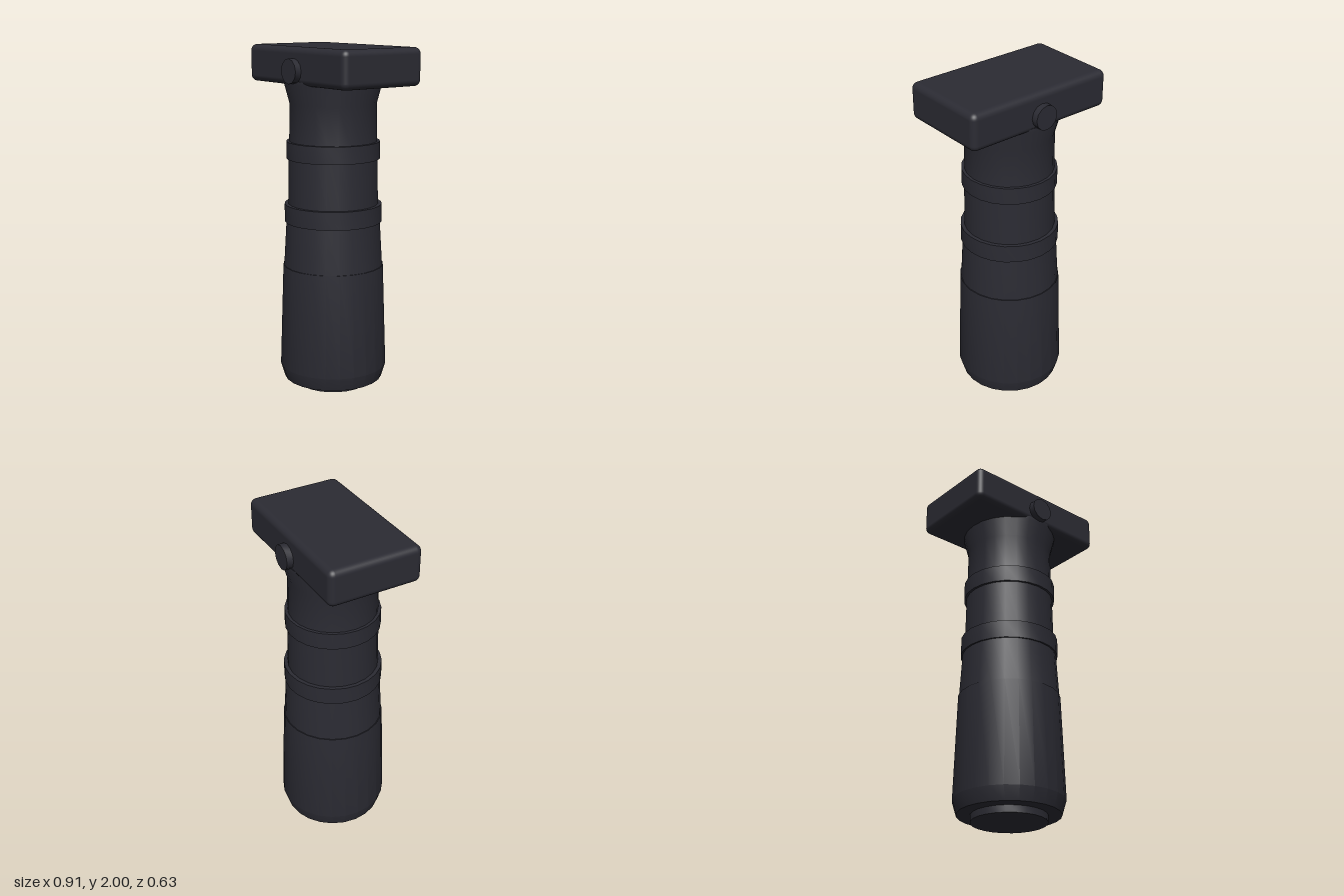
import * as THREE from 'three';
import { toCreasedNormals } from 'three/addons/utils/BufferGeometryUtils.js';
import { RoundedBoxGeometry } from 'three/addons/geometries/RoundedBoxGeometry.js';

const SIDES = 24;

export function createModel() {
  const model = new THREE.Group();
  model.name = 'verticalGrip';
  const polymer = new THREE.MeshStandardMaterial({ color: 0x2b2b33 });
  polymer.name = 'darkPolymer';

  const add = (name, geometry, y = 0, z = 0) => {
    const mesh = new THREE.Mesh(geometry, polymer);
    mesh.name = name;
    mesh.position.set(0, y, z);
    model.add(mesh);
    return mesh;
  };

  // Turned part from [radius, height] pairs, bottom to top
  const turned = (name, profile) => {
    const points = profile.map(([r, y]) => new THREE.Vector2(r, y));
    add(name, toCreasedNormals(new THREE.LatheGeometry(points, SIDES), 0.4));
  };

  // Base plug under the handle
  turned('basePlug', [[0, 0], [0.215, 0], [0.215, 0.05], [0, 0.05]]);

  // Handle: chamfered foot and swelling lower body with a small lip
  turned('lowerHandle', [
    [0, 0.04], [0.292, 0.04], [0.316, 0.12], [0.295, 0.73],
    [0.290, 0.73], [0.274, 1.0], [0, 1.0],
  ]);
  turned('middleHandle', [[0.264, 1.0], [0.262, 1.1], [0.257, 1.4]]);

  // Neck flaring out under the mount
  turned('neck', [[0.257, 1.4], [0.254, 1.46], [0.251, 1.68], [0.28, 1.79], [0.28, 1.81], [0, 1.81]]);

  // Raised rings
  for (const [name, r, low, high] of [['lowerRing', 0.284, 0.99, 1.095], ['upperRing', 0.271, 1.36, 1.46]]) {
    turned(name, [[0.24, low], [r, low], [r, high], [0.24, high]]);
  }

  // Rail mount block
  add('mountBlock', new RoundedBoxGeometry(0.91, 0.212, 0.545, 4, 0.036), 1.894);

  // Cross bolt heads, front and back
  for (const side of [1, -1]) {
    const bolt = new THREE.CylinderGeometry(0.07, 0.07, 0.06, 12);
    bolt.rotateX(side * Math.PI / 2);
    add(side > 0 ? 'frontBolt' : 'backBolt', toCreasedNormals(bolt, 0.6), 1.867, side * 0.28);
  }

  return model;
}
